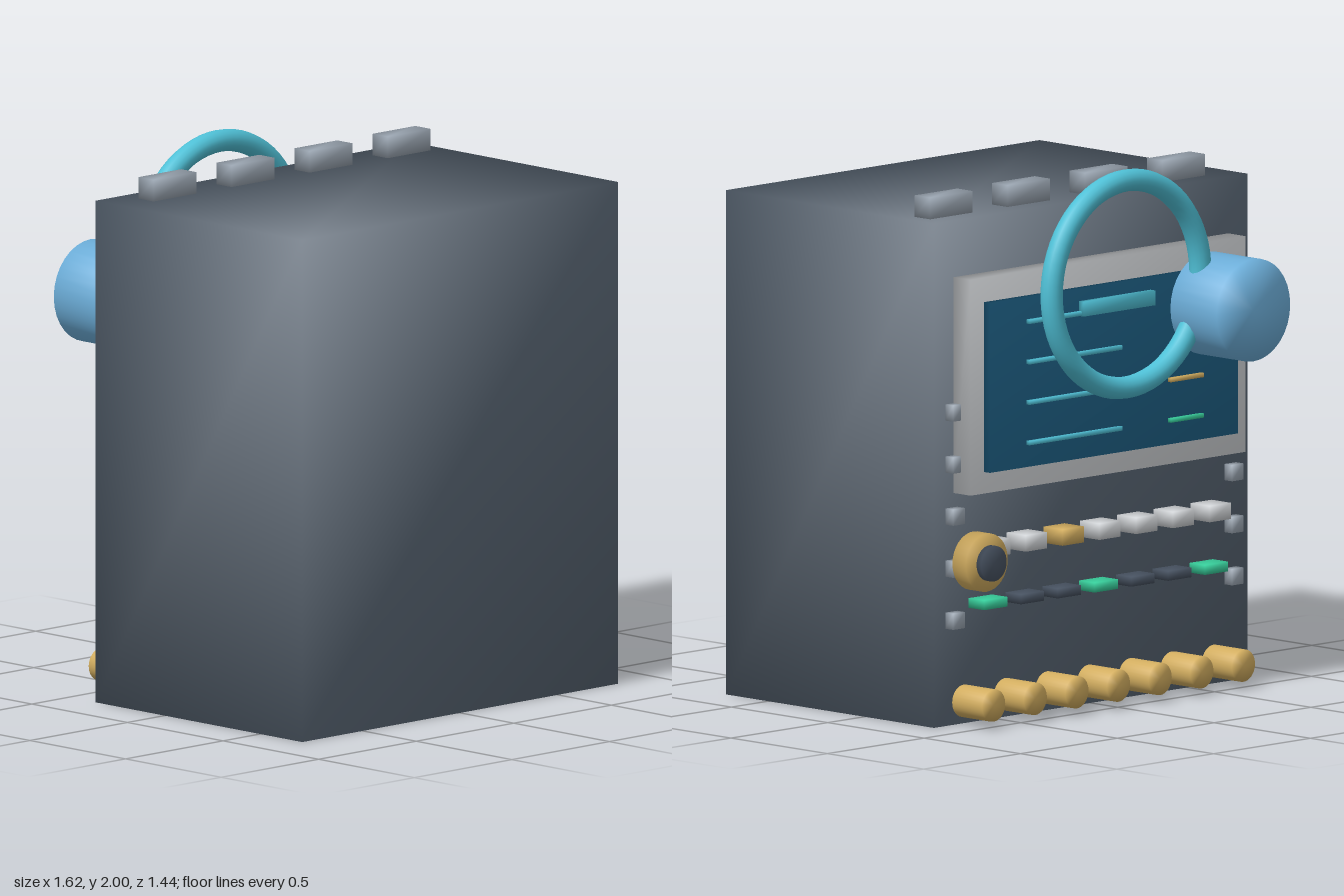
import * as THREE from 'three';
import { mergeVertices } from 'three/addons/utils/BufferGeometryUtils.js';

const mat = (name, color) => {
  const m = new THREE.MeshStandardMaterial({ color });
  m.name = name;
  return m;
};

// Weld corners so that shading flows softly over every edge
function soften(geometry) {
  geometry.deleteAttribute('uv');
  geometry.deleteAttribute('normal');
  const welded = mergeVertices(geometry, 1e-4);
  welded.computeVertexNormals();
  return welded;
}

export function createModel() {
  const group = new THREE.Group();
  const slate = mat('slate', 0x596674);
  const darkSlate = mat('dark slate', 0x485362);
  const steel = mat('steel', 0x9ba6b2);
  const pale = mat('pale grey', 0xd2d5d8);
  const screenBlue = mat('screen blue', 0x1e6085);
  const cyan = mat('cyan', 0x4fc0d6);
  const skyBlue = mat('sky blue', 0x6fb2de);
  const gold = mat('gold', 0xd3ae60);
  const green = mat('green', 0x38cf9c);

  const add = (name, geometry, material, x, y, z) => {
    const mesh = new THREE.Mesh(geometry, material);
    mesh.name = name;
    mesh.position.set(x, y, z);
    group.add(mesh);
    return mesh;
  };
  const box = (name, material, w, h, d, x, y, z) =>
    add(name, soften(new THREE.BoxGeometry(w, h, d)), material, x, y, z);
  // Cylinder whose axis runs along z
  const disc = (name, material, r, depth, x, y, z) =>
    add(name, soften(new THREE.CylinderGeometry(r, r, depth, 32).rotateX(Math.PI / 2)), material, x, y, z);

  // Cabinet
  box('cabinet', slate, 1.62, 1.87, 1.08, 0, 0.935, 0.18);

  // Clips along the top
  for (let i = 0; i < 4; i++) box('topClip', steel, 0.22, 0.08, 0.08, -0.56 + 0.4 * i, 1.91, -0.24);

  // Display with its frame
  box('screenFrame', pale, 1.42, 0.8, 0.09, 0, 1.26, -0.405);
  box('screen', screenBlue, 1.28, 0.63, 0.03, 0, 1.255, -0.465);

  // Readout lines on the display
  for (const y of [1.03, 1.18, 1.33, 1.48]) box('readoutLine', cyan, 0.48, 0.016, 0.016, 0.21, y, -0.487);
  box('readoutBar', cyan, 0.37, 0.055, 0.024, -0.005, 1.497, -0.492);
  box('statusLine', gold, 0.17, 0.016, 0.016, -0.365, 1.18, -0.487);
  box('statusLine', green, 0.17, 0.016, 0.016, -0.365, 1.03, -0.487);

  // Cable loop and round drum in front of the display
  add('cableLoop', new THREE.TorusGeometry(0.384, 0.041, 16, 64), cyan, 0, 1.575, -0.543);
  disc('drum', skyBlue, 0.19, 0.24, -0.48, 1.443, -0.602);

  // Bolts down both sides
  for (const side of [-1, 1]) {
    for (let i = 0; i < 5; i++) box('sideBolt', steel, 0.06, 0.06, 0.04, side * 0.72, 1.163 - 0.193 * i, -0.38);
  }

  // Button row, key row and plug row
  for (let i = 0; i < 7; i++) {
    const x = 0.57 - 0.19 * i;
    box('button', i === 2 ? gold : pale, 0.11, 0.06, 0.1, x, 0.652, -0.41);
    box('key', i % 3 === 0 ? green : darkSlate, 0.12, 0.036, 0.08, x, 0.443, -0.4);
    disc('plug', gold, 0.06, 0.155, 0.685 - 0.215 * i, 0.09, -0.467);
  }

  // Control knob and its cap
  disc('knob', gold, 0.108, 0.07, 0.703, 0.62, -0.492);
  disc('knobCap', darkSlate, 0.066, 0.024, 0.703, 0.62, -0.552);

  return group;
}
